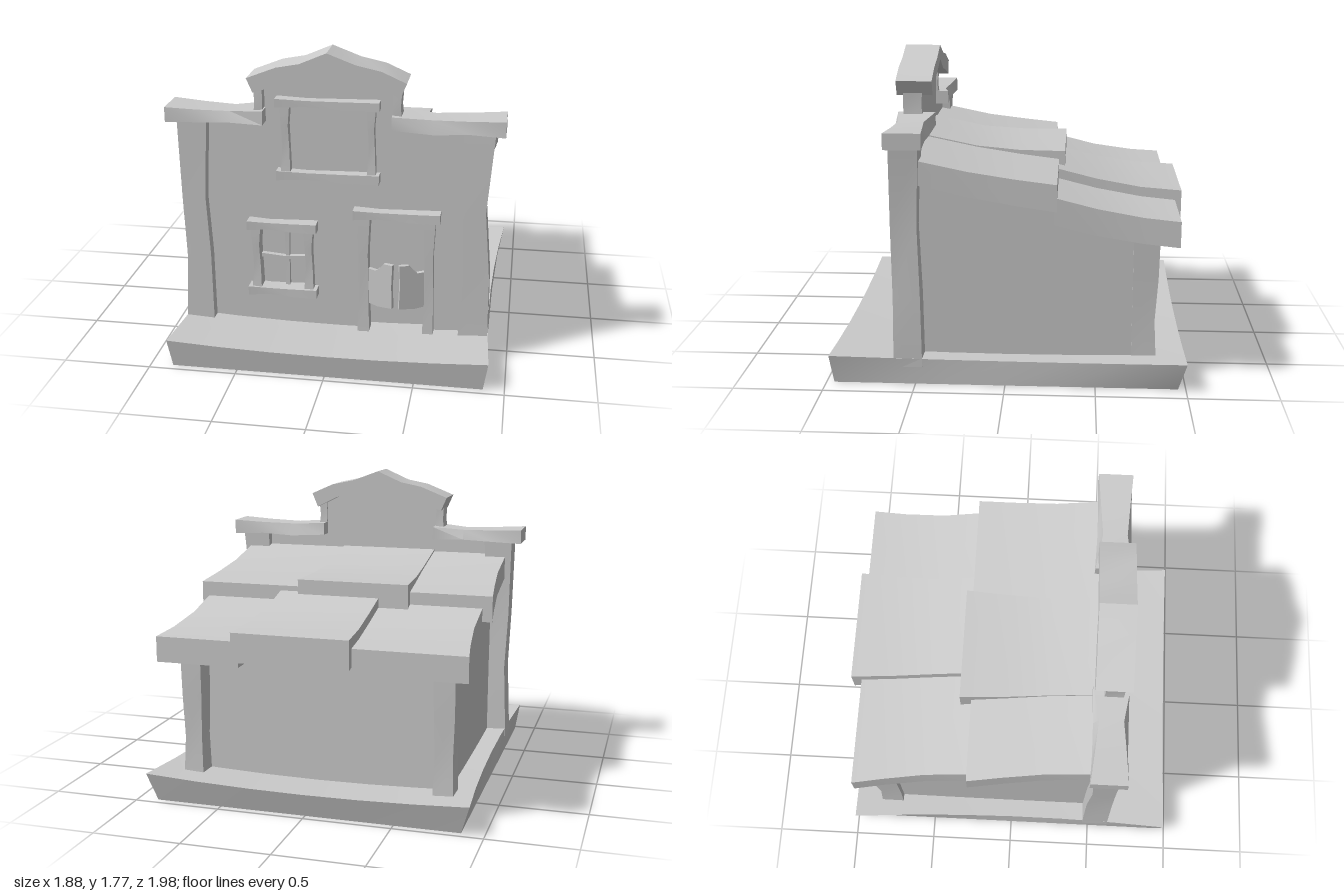
import * as THREE from 'three';
import { toCreasedNormals } from 'three/addons/utils/BufferGeometryUtils.js';

const material = new THREE.MeshStandardMaterial({ color: 0xcccccc, side: THREE.DoubleSide });

// Crooked box lofted along an axis; sections are [t, a0, a1, b0, b1, inset] with t ascending.
// Cross axes (a, b): along x -> (y, z), along y -> (z, x), along z -> (x, y).
// The optional inset narrows b on the a1 side.
function loft(axis, sections) {
  const n = 'xyz'.indexOf(axis);
  const rings = sections.map(([t, a0, a1, b0, b1, inset = 0]) =>
    [[a0, b0], [a1, b0 + inset], [a1, b1 - inset], [a0, b1]].map(([a, b]) => {
      const p = [0, 0, 0];
      p[n] = t;
      p[(n + 1) % 3] = a;
      p[(n + 2) % 3] = b;
      return p;
    }));
  const out = [];
  const quad = (a, b, c, d) => out.push(...a, ...b, ...c, ...a, ...c, ...d);
  for (let i = 0; i < rings.length - 1; i++) {
    for (let k = 0; k < 4; k++) {
      const m = (k + 1) % 4;
      quad(rings[i][k], rings[i][m], rings[i + 1][m], rings[i + 1][k]);
    }
  }
  const [s, e] = [rings[0], rings[rings.length - 1]];
  quad(s[3], s[2], s[1], s[0]);
  quad(e[0], e[1], e[2], e[3]);
  const g = new THREE.BufferGeometry();
  g.setAttribute('position', new THREE.Float32BufferAttribute(out, 3));
  return toCreasedNormals(g, 0.5);
}

// Flat outline (with optional holes) given thickness from z0 to z1
function slab(points, z0, z1, holes = []) {
  const v = (p) => p.map(([x, y]) => new THREE.Vector2(x, y));
  const shape = new THREE.Shape(v(points));
  holes.forEach((h) => shape.holes.push(new THREE.Path(v(h))));
  const g = new THREE.ExtrudeGeometry(shape, { depth: z1 - z0, bevelEnabled: false });
  return toCreasedNormals(g.translate(0, 0, z0), 0.5);
}

const rect = (x0, x1, y0, y1) => [[x0, y0], [x1, y0], [x1, y1], [x0, y1]];

export function createModel() {
  const model = new THREE.Group();
  const add = (name, geometry) => {
    const mesh = new THREE.Mesh(geometry, material);
    mesh.name = name;
    model.add(mesh);
    return mesh;
  };

  // Flared, slightly dished base, open underneath
  const base = new THREE.BoxGeometry(2, 2, 2, 6, 1, 6);
  const pos = base.attributes.position;
  const tri = Array.from(base.index.array);
  const kept = [];
  for (let i = 0; i < tri.length; i += 3) {
    const t = tri.slice(i, i + 3);
    if (t.some((k) => pos.getY(k) > 0)) kept.push(...t);
  }
  base.setIndex(kept);
  for (let i = 0; i < pos.count; i++) {
    const [x, y, z] = [pos.getX(i), pos.getY(i), pos.getZ(i)];
    if (y > 0) {
      pos.setXYZ(i, x * (0.875 + 0.04 * z * z - 0.012 * z) + 0.005,
        0.113 + 0.03 * x * x + 0.022 * z * z, z * (0.985 + 0.005 * x * x) - 0.01);
    } else pos.setXYZ(i, x * 0.877 + 0.005, 0, z * 0.957);
  }
  add('base', toCreasedNormals(base, 0.5));

  // Solid body set in behind the posts, sloping down to the back
  add('body', loft('z', [
    [-0.715, -0.76, 0.755, 0.118, 0.89], [-0.5, -0.76, 0.755, 0.118, 0.93],
    [-0.1, -0.76, 0.755, 0.118, 1.06], [0.49, -0.76, 0.755, 0.118, 1.2]]));

  // Stepped false front with window and door openings
  add('facade', slab([
    [-0.8, 0.115], [0.8, 0.115], [0.8, 1.38], [0.35, 1.38], [0.35, 1.6], [-0.03, 1.73],
    [-0.42, 1.6], [-0.42, 1.38], [-0.8, 1.38]], 0.515, 0.555,
  [rect(-0.44, -0.16, 0.35, 0.74), rect(0.19, 0.525, 0.12, 0.83)].map((h) => h.reverse())));

  // Corner posts
  add('frontPostLeft', loft('y', [
    [0.1, 0.46, 0.62, 0.715, 0.885], [0.5, 0.465, 0.615, 0.74, 0.882],
    [0.9, 0.48, 0.625, 0.72, 0.85], [1.37, 0.46, 0.62, 0.715, 0.888]]));
  add('frontPostRight', loft('y', [
    [0.1, 0.46, 0.62, -0.88, -0.715], [0.55, 0.465, 0.62, -0.86, -0.72],
    [0.9, 0.48, 0.615, -0.875, -0.74], [1.37, 0.46, 0.62, -0.885, -0.715]]));
  for (const [name, x0, x1] of [['backPostLeft', 0.65, 0.77], ['backPostRight', -0.805, -0.685]]) {
    add(name, loft('y', [
      [0.08, -0.84, -0.7, x0, x1], [0.35, -0.825, -0.7, x0 + 0.01, x1 - 0.01],
      [0.6, -0.84, -0.7, x0, x1 - 0.005], [0.87, -0.845, -0.7, x0, x1]]));
  }

  // Short posts under the gable
  add('gablePostRight', loft('y', [
    [1.38, 0.495, 0.605, -0.45, -0.4], [1.48, 0.505, 0.61, -0.44, -0.395], [1.62, 0.495, 0.605, -0.45, -0.4]]));
  add('gablePostLeft', loft('y', [
    [1.38, 0.495, 0.605, 0.33, 0.38], [1.48, 0.505, 0.61, 0.325, 0.37], [1.62, 0.495, 0.605, 0.33, 0.38]]));

  // Wavy cornices and peaked gable trim
  add('corniceRight', loft('x', [
    [-0.945, 1.35, 1.435, 0.437, 0.645], [-0.76, 1.355, 1.425, 0.445, 0.643, 0.012],
    [-0.58, 1.362, 1.42, 0.445, 0.643, 0.03], [-0.39, 1.355, 1.435, 0.437, 0.645]]));
  add('corniceLeft', loft('x', [
    [0.325, 1.36, 1.435, 0.43, 0.645], [0.55, 1.345, 1.42, 0.44, 0.643, 0.03],
    [0.75, 1.355, 1.425, 0.44, 0.638, 0.012], [0.94, 1.345, 1.435, 0.435, 0.64]]));
  add('gableTrim', slab([
    [-0.44, 1.54], [-0.3, 1.585], [-0.17, 1.615], [-0.03, 1.69], [0.11, 1.645], [0.24, 1.605], [0.37, 1.54],
    [0.405, 1.625], [0.27, 1.685], [0.13, 1.715], [-0.03, 1.775], [-0.18, 1.71], [-0.31, 1.685], [-0.475, 1.62]],
  0.44, 0.645));

  // Overlapping roof tiles: [name, x range at back, x range at front, rows of [z, bottom, top]]
  const upper = [[-0.28, 1.0, 1.15], [-0.05, 1.03, 1.175], [0.2, 1.07, 1.21], [0.515, 1.14, 1.275]];
  const lower = [[-0.945, 0.81, 0.955], [-0.75, 0.825, 0.97], [-0.5, 0.86, 1.01], [-0.18, 0.935, 1.09]];
  const lift = (rows, dy, dz) => rows.map(([z, a, b], i) => [z + (i ? 0 : dz), a + dy, b + dy]);
  const upperMid = [[-0.315, 1.05, 1.198], [-0.05, 1.065, 1.198], [0.2, 1.085, 1.217], [0.515, 1.15, 1.282]];
  const lowerMid = [[-0.98, 0.845, 1.012], [-0.75, 0.875, 1.025], [-0.5, 0.915, 1.065], [-0.18, 0.99, 1.145]];
  const tiles = [
    ['upperTileRight', [-0.893, -0.36], [-0.845, -0.34], lift(upper, -0.005, 0.03)],
    ['upperTileMiddle', [-0.415, 0.25], [-0.385, 0.215], upperMid],
    ['upperTileLeft', [0.2, 0.87], [0.17, 0.845], upper],
    ['lowerTileRight', [-0.89, -0.22], [-0.835, -0.2], lift(lower, 0, 0.02)],
    ['lowerTileMiddle', [-0.26, 0.41], [-0.24, 0.37], lowerMid],
    ['lowerTileLeft', [0.38, 0.865], [0.34, 0.83], lower],
  ];
  for (const [name, back, front, rows] of tiles) {
    add(name, loft('z', rows.map(([z, y0, y1], i) => {
      const t = Math.min(1, i / 2);
      return [z, THREE.MathUtils.lerp(back[0], front[0], t), THREE.MathUtils.lerp(back[1], front[1], t), y0, y1];
    })));
  }

  // Crooked trim bars around the sign board, window and door
  const rail = (name, x0, x1, y0, y1, z1, w = 0.008) => {
    const at = (f) => x0 + (x1 - x0) * f;
    add(name, loft('x', [
      [x0, y0, y1, 0.53, z1], [at(0.3), y0 + w, y1 - w, 0.53, z1 - 0.012],
      [at(0.65), y0, y1 - w / 2, 0.53, z1 - 0.004], [x1, y0, y1, 0.53, z1]]));
  };
  const stile = (name, x0, x1, y0, y1, z1, w = 0.01) => {
    const at = (f) => y0 + (y1 - y0) * f;
    add(name, loft('y', [
      [y0, 0.53, z1, x0, x1], [at(0.35), 0.53, z1 - 0.01, x0 + w, x1 - w / 2],
      [at(0.7), 0.53, z1, x0 + w / 2, x1 - w], [y1, 0.53, z1, x0, x1]]));
  };
  rail('signTopRail', -0.325, 0.255, 1.455, 1.505, 0.627);
  rail('signBottomRail', -0.325, 0.255, 1.03, 1.085, 0.622);
  stile('signRightRail', -0.3, -0.245, 1.07, 1.47, 0.61);
  stile('signLeftRail', 0.185, 0.235, 1.07, 1.47, 0.61);

  rail('windowLintel', -0.5, -0.1, 0.72, 0.775, 0.632);
  rail('windowSill', -0.5, -0.1, 0.315, 0.368, 0.632);
  stile('windowRightJamb', -0.48, -0.425, 0.35, 0.74, 0.615);
  stile('windowLeftJamb', -0.175, -0.12, 0.35, 0.74, 0.615);
  add('windowCrossBar', loft('x', [
    [-0.45, 0.53, 0.555, 0.53, 0.56], [-0.3, 0.522, 0.542, 0.53, 0.56], [-0.15, 0.53, 0.552, 0.53, 0.56]]));
  add('windowUprightBar', loft('y', [
    [0.34, 0.53, 0.56, -0.295, -0.268], [0.54, 0.53, 0.555, -0.29, -0.27], [0.75, 0.53, 0.56, -0.298, -0.268]]));

  rail('doorLintel', 0.11, 0.6, 0.82, 0.875, 0.632);
  stile('doorRightJamb', 0.135, 0.205, 0.09, 0.83, 0.618);
  stile('doorLeftJamb', 0.51, 0.575, 0.09, 0.83, 0.618);

  // Swinging half doors with curved tops, hung slightly ajar
  for (const [name, x, s] of [['swingDoorRight', 0.2, 1], ['swingDoorLeft', 0.518, -1]]) {
    const outline = [[0, 0.3], [0.06, 0.288], [0.15, 0.292], [0.145, 0.43], [0.15, 0.56],
      [0.095, 0.56], [0.07, 0.53], [0.045, 0.51], [0, 0.515]].map(([a, b]) => [s * a, b]);
    const door = add(name, slab(outline, -0.012, 0.012));
    door.position.set(x, 0, 0.585);
    door.rotation.y = -s * 0.32;
  }
  return model;
}
